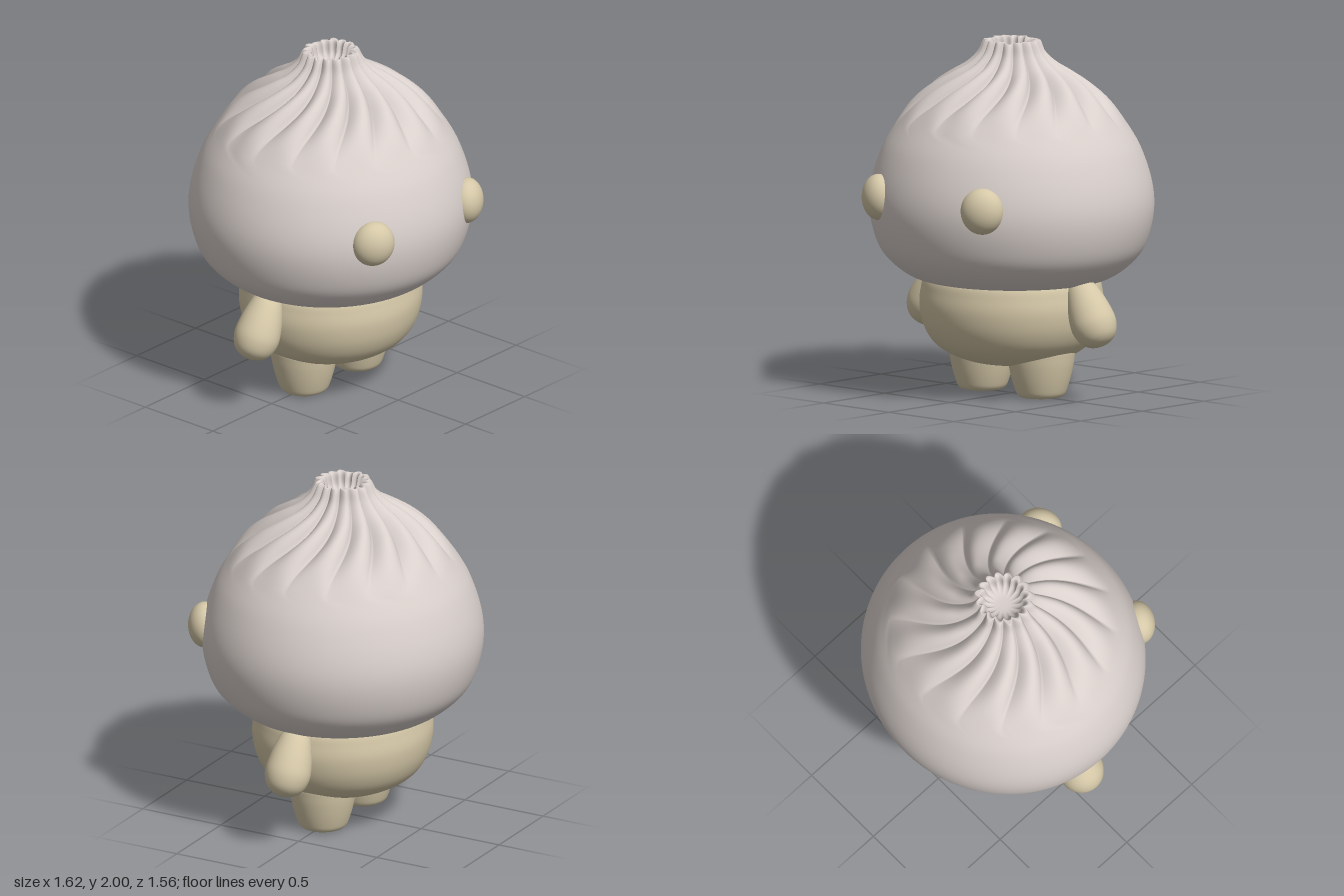
import * as THREE from 'three';
import { mergeVertices } from 'three/addons/utils/BufferGeometryUtils.js';

const dough = new THREE.MeshStandardMaterial({ color: 0xd9d0cc });
dough.name = 'pale dough';
const cream = new THREE.MeshStandardMaterial({ color: 0xd5c8a8 });
cream.name = 'warm cream';

const PLEATS = 16;
const smooth = THREE.MathUtils.smoothstep;
const lerp = THREE.MathUtils.lerp;

// Smooth solid of revolution through a few [radius, height] points
function turned(points, steps, sides) {
  const curve = new THREE.SplineCurve(points.map(p => new THREE.Vector2(...p)));
  const profile = curve.getPoints(steps);
  profile.forEach(p => { p.x = Math.max(p.x, 0); });
  return new THREE.LatheGeometry(profile, sides);
}

// Weld the lathe seam and recompute smooth normals
function weld(geometry) {
  geometry.deleteAttribute('uv');
  geometry.deleteAttribute('normal');
  const welded = mergeVertices(geometry, 1e-5);
  welded.computeVertexNormals();
  return welded;
}

function part(name, geometry, material) {
  const mesh = new THREE.Mesh(geometry, material);
  mesh.name = name;
  return mesh;
}

// Bun-shaped head: lathe whose top is twisted and gathered into pleats
function headGeometry() {
  const geometry = turned([
    [0, 0.65], [0.3, 0.65], [0.5, 0.653], [0.62, 0.70], [0.73, 0.80], [0.785, 0.92],
    [0.81, 1.07], [0.793, 1.22], [0.735, 1.39], [0.66, 1.52], [0.575, 1.63],
    [0.47, 1.72], [0.34, 1.805], [0.25, 1.865], [0.19, 1.925], [0.16, 1.985],
    [0.145, 2.0], [0.125, 1.985], [0.105, 1.93], [0.06, 1.90], [0, 1.895],
  ], 110, PLEATS * 18);
  const pos = geometry.attributes.position;
  for (let i = 0; i < pos.count; i++) {
    let x = pos.getX(i), y = pos.getY(i), z = pos.getZ(i);
    let r = Math.hypot(x, z);
    if (r < 1e-4 || y < 1.4) continue;
    const angle = Math.atan2(z, x);
    const phase = ((angle / (2 * Math.PI) + 1) * PLEATS + 1e-6) % PLEATS;
    const cell = Math.floor(phase);
    // Each fold is a lopsided lobe with a sharp groove beside it
    const lobe = Math.sin(Math.PI * Math.pow(phase - cell, 0.7));
    const wobble = Math.sin(cell * 2.4) * 0.5 + Math.sin(cell * 5.1) * 0.5;
    // Amount fades to nothing at the shoulder, unevenly from fold to fold
    const fade = smooth(y, 1.5 + 0.05 * wobble * Math.sin(Math.PI * (phase - cell)), 1.76);
    const depth = Math.min(0.055, 0.18 * r) * fade * (lobe - 0.72);
    const slope = smooth(r, 0.18, 0.4);
    const crater = r < 0.13 ? r / 0.13 : 1;
    r += depth * lerp(1, 0.6, slope) * crater;
    y += depth * slope * 0.8;
    if (r < 0.22) y += 0.012 * wobble * lobe * smooth(y, 1.94, 2.0);
    const twisted = angle + 0.42 * smooth(r, 0.12, 0.68) * smooth(y, 1.4, 1.55);
    pos.setXYZ(i, r * Math.cos(twisted), Math.min(y, 2), r * Math.sin(twisted));
  }
  return weld(geometry);
}

export function createModel() {
  const model = new THREE.Group();
  model.name = 'bunFigure';

  const head = part('head', headGeometry(), dough);
  head.scale.z = 0.963;
  model.add(head);

  // Round belly, slightly flatter front to back
  const body = part('body', weld(turned([
    [0, 0.17], [0.2, 0.183], [0.35, 0.228], [0.45, 0.295], [0.507, 0.39],
    [0.53, 0.5], [0.522, 0.59], [0.495, 0.67], [0.40, 0.72], [0, 0.73],
  ], 48, 64)), cream);
  body.scale.z = 0.94;
  model.add(body);

  const legGeometry = weld(turned([
    [0, 0.005], [0.10, 0.005], [0.132, 0.02], [0.15, 0.06], [0.172, 0.14],
    [0.188, 0.23], [0.185, 0.30], [0.1, 0.34], [0, 0.35],
  ], 32, 40));
  const armGeometry = weld(turned([
    [0, -0.125], [0.06, -0.11], [0.105, -0.07], [0.128, 0], [0.122, 0.08],
    [0.104, 0.16], [0.08, 0.23], [0.045, 0.275], [0, 0.29],
  ], 32, 40));
  const eyeGeometry = new THREE.SphereGeometry(1, 40, 28);

  // Mirrored limbs and eyes
  for (const [side, s] of [['left', 1], ['right', -1]]) {
    const leg = part(side + 'Leg', legGeometry, cream);
    leg.position.x = s * 0.225;
    model.add(leg);

    const arm = part(side + 'Arm', armGeometry, cream);
    arm.position.set(s * 0.632, 0.446, 0);
    arm.rotation.z = s * 0.47;
    model.add(arm);

    const eye = part(side + 'Eye', eyeGeometry, cream);
    eye.scale.set(0.122, 0.13, 0.095);
    eye.position.set(s * 0.395, 1.14, 0.66);
    eye.rotation.y = s * 0.53;
    model.add(eye);
  }
  return model;
}
